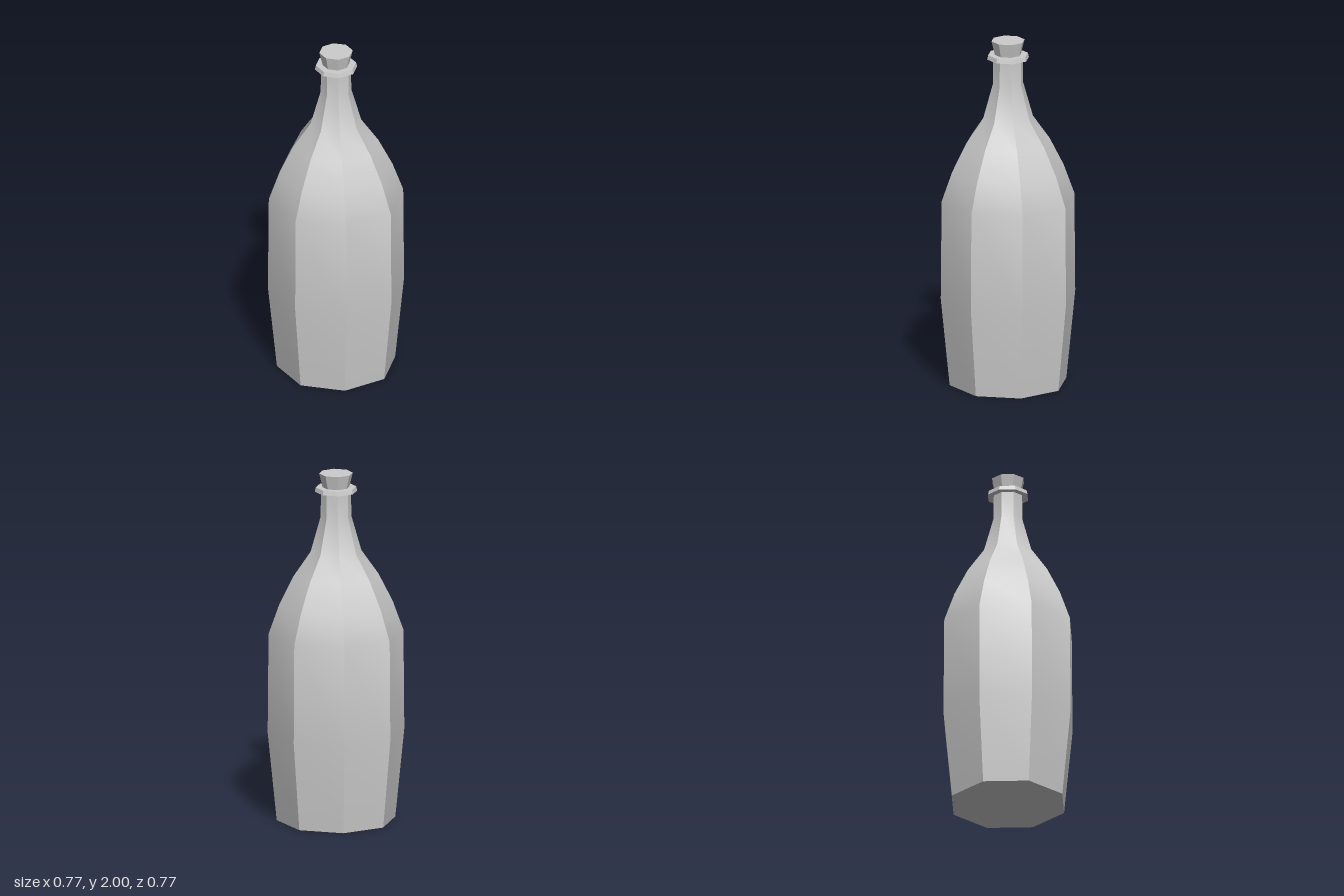
import * as THREE from 'three';
import { toCreasedNormals } from 'three/addons/utils/BufferGeometryUtils.js';

const SIDES = 8;

// Eight-sided turned part: smooth along its height, sharp between its sides
function turned(name, profile, material) {
  const points = profile.map(([r, y]) => new THREE.Vector2(r, y));
  const geometry = toCreasedNormals(new THREE.LatheGeometry(points, SIDES), THREE.MathUtils.degToRad(28));
  const mesh = new THREE.Mesh(geometry, material);
  mesh.name = name;
  return mesh;
}

export function createModel() {
  const group = new THREE.Group();
  group.name = 'bottle';
  const material = new THREE.MeshStandardMaterial({ color: 0xcccccc });

  // Base, body, shoulder and neck
  group.add(turned('bottleBody', [
    [0, 0], [0.335, 0], [0.386, 0.51], [0.381, 1.08], [0.32, 1.25],
    [0.24, 1.41], [0.143, 1.55], [0.087, 1.75], [0.085, 1.9],
  ], material));

  // Collar around the mouth
  group.add(turned('lipRing', [
    [0.07, 1.895], [0.12, 1.895], [0.114, 1.92], [0.07, 1.92],
  ], material));

  // Tapered stopper, wider at the top
  group.add(turned('stopper', [
    [0, 1.88], [0.066, 1.88], [0.095, 2], [0, 2],
  ], material));

  return group;
}
